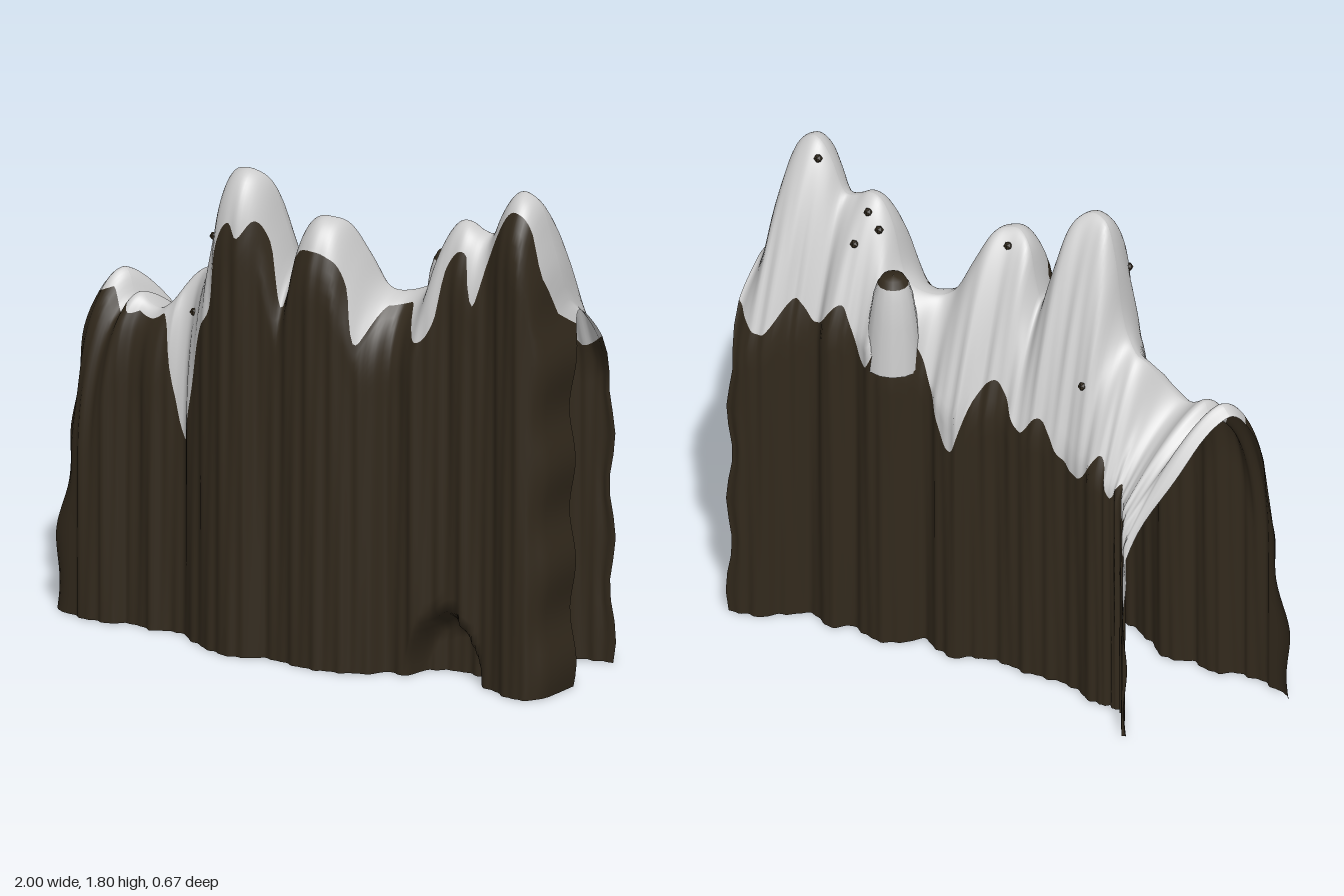
import * as THREE from 'three';

const rockMat = new THREE.MeshStandardMaterial({ color: 0x32291c, side: THREE.DoubleSide });
const snowMat = new THREE.MeshStandardMaterial({ color: 0xcccccc, side: THREE.DoubleSide });

// Smooth curve through [x, value] pairs
function curve(...p) {
  const slope = i => {
    const a = p[Math.max(i - 1, 0)], b = p[Math.min(i + 1, p.length - 1)];
    return (b[1] - a[1]) / (b[0] - a[0]);
  };
  return x => {
    let i = 0;
    while (i < p.length - 2 && x > p[i + 1][0]) i++;
    const h = p[i + 1][0] - p[i][0];
    const t = THREE.MathUtils.clamp((x - p[i][0]) / h, 0, 1), u = 1 - t;
    return p[i][1] * (1 + 2 * t) * u * u + p[i + 1][1] * t * t * (3 - 2 * t)
      + h * t * u * (slope(i) * u - slope(i + 1) * t);
  };
}

// Crest height along the ridge
const crest = curve([-0.95, 1.2], [-0.92, 1.235], [-0.88, 1.21], [-0.83, 1.13], [-0.76, 1.18], [-0.65, 1.14],
  [-0.58, 1.18], [-0.5, 1.28], [-0.4, 1.34], [-0.36, 1.43], [-0.33, 1.58], [-0.29, 1.7], [-0.25, 1.735],
  [-0.19, 1.735], [-0.14, 1.68], [-0.1, 1.53], [-0.06, 1.38], [-0.03, 1.44], [0, 1.55], [0.05, 1.6], [0.1, 1.605],
  [0.15, 1.58], [0.2, 1.48], [0.25, 1.37], [0.3, 1.335], [0.4, 1.36], [0.45, 1.41], [0.5, 1.55], [0.55, 1.63],
  [0.6, 1.645], [0.65, 1.62], [0.7, 1.62], [0.75, 1.72], [0.8, 1.785], [0.85, 1.79], [0.9, 1.73], [0.93, 1.58],
  [0.96, 1.4], [0.98, 1.35]);
const crestZ = curve([-0.95, 0], [-0.85, 0.03], [-0.75, 0.08], [-0.6, 0.1], [-0.47, 0.06], [-0.4, 0.1], [-0.22, 0.2],
  [-0.06, 0.12], [0.08, 0.18], [0.25, 0.08], [0.4, 0.03], [0.5, 0.08], [0.6, 0.1], [0.7, 0.1], [0.85, 0.13],
  [0.93, 0.1], [0.98, 0]);
// Front and back faces of the wall
const frontZ = curve([-0.95, 0.13], [-0.92, 0.18], [-0.85, 0.2], [-0.75, 0.2], [-0.7, 0.17], [-0.6, 0.2], [-0.5, 0.18],
  [-0.42, 0.24], [-0.3, 0.31], [-0.2, 0.33], [-0.1, 0.29], [0, 0.31], [0.08, 0.325], [0.2, 0.31], [0.3, 0.27],
  [0.35, 0.22], [0.45, 0.25], [0.55, 0.22], [0.65, 0.235], [0.72, 0.22], [0.8, 0.26], [0.86, 0.285], [0.92, 0.27],
  [0.96, 0.21], [0.98, 0.06]);
const backZ = curve([-0.95, -0.33], [-0.85, -0.3], [-0.75, -0.25], [-0.65, -0.2], [-0.5, -0.18], [-0.4, -0.18],
  [-0.3, -0.13], [-0.22, -0.12], [-0.1, -0.12], [0, -0.1], [0.1, -0.12], [0.15, -0.15], [0.22, -0.13], [0.3, -0.09],
  [0.36, -0.15], [0.45, -0.17], [0.55, -0.13], [0.63, -0.17], [0.7, -0.12], [0.8, -0.17], [0.87, -0.22], [0.98, -0.23]);
// Height where the back slope becomes a cliff
const backRim = curve([-0.95, 0.72], [-0.8, 0.86], [-0.5, 0.9], [-0.3, 0.95], [0, 1], [0.2, 1], [0.4, 1.15],
  [0.6, 1.2], [0.8, 1.15], [0.98, 1.05]);
// Lower limits of the snow
const snowFront = curve([-0.95, 1.15], [-0.8, 1.2], [-0.74, 1.12], [-0.64, 1.15], [-0.56, 1.1], [-0.52, 0.87],
  [-0.47, 0.71], [-0.43, 0.87], [-0.38, 1.13], [-0.32, 1.25], [-0.29, 1.47], [-0.24, 1.57], [-0.2, 1.52],
  [-0.15, 1.58], [-0.11, 1.5], [-0.06, 1.27], [-0.02, 1.42], [0.03, 1.5], [0.15, 1.48], [0.2, 1.38], [0.24, 1.19],
  [0.3, 1.3], [0.38, 1.33], [0.45, 1.22], [0.52, 1.3], [0.56, 1.5], [0.63, 1.55], [0.67, 1.38], [0.72, 1.55],
  [0.8, 1.72], [0.85, 1.74], [0.9, 1.68], [0.93, 1.52], [0.98, 1.31]);
const snowBack = curve([-0.95, 0.44], [-0.9, 0.6], [-0.8, 0.85], [-0.7, 0.78], [-0.6, 0.92], [-0.5, 0.86], [-0.42, 1.0],
  [-0.33, 0.88], [-0.25, 0.92], [-0.15, 1.05], [-0.08, 0.98], [0.03, 1.13], [0.1, 1.05], [0.17, 0.84], [0.25, 1.0],
  [0.35, 1.22], [0.42, 1.25], [0.5, 1.1], [0.6, 1.3], [0.7, 1.2], [0.78, 1.28], [0.87, 1.15], [0.98, 1.22]);

// Point on the shell at station s and height y, on the front or back side
function shell(s, y, isFront) {
  const top = crest(s), zf = frontZ(s), zb = backZ(s), zp = Math.min(crestZ(s), zf - 0.03);
  let z;
  if (isFront) {
    const leftEnd = THREE.MathUtils.smoothstep(-s, 0.72, 0.95);
    const h = Math.min(snowFront(s), top - 0.28 - 0.45 * leftEnd);
    const t = THREE.MathUtils.clamp((y - h) / (top - h), 0, 1);
    z = zf + (zp - zf) * (1 - Math.sqrt(1 - t * t));
    // small cave at the foot of the cliff
    const d = Math.hypot((s - 0.56) / 0.14, y / 0.24);
    z -= 0.12 * (1 - THREE.MathUtils.smoothstep(d, 0.75, 1.05));
  } else {
    const t = THREE.MathUtils.clamp((top - y) / (top - backRim(s)), 0, 1);
    z = zp + (zb - zp) * Math.pow(t, 1 / 1.5);
  }
  // vertical fluting, fading out at the crest
  const fade = THREE.MathUtils.clamp((top - y) / 0.4, 0, 1);
  z += fade * (0.005 * Math.sin(s * 71 + y * 1.5) + 0.003 * Math.sin(s * 133 - y * 2));
  // the left opening is cut obliquely, both ends are ragged
  const skew = 0.35 * Math.pow(Math.max(0, (-0.4 - s) / 0.55), 1.3);
  const end = THREE.MathUtils.smoothstep(Math.abs(s), 0.9, 0.98);
  let x = s + skew * (zf - z) / (zf - zb) + end * 0.012 * Math.sin(y * 17);
  if (isFront) x -= 0.05 * THREE.MathUtils.smoothstep(-s, 0.91, 0.95) * (1 - THREE.MathUtils.smoothstep(y, 0.25, 0.6));
  return [x, y, z];
}

// Strip of surface between two heights, along the whole ridge
function strip(name, mat, rows, isFront, yAt) {
  const N = 200, pos = [], idx = [];
  for (let i = 0; i <= N; i++) {
    const s = -0.95 + 1.93 * i / N;
    for (let j = 0; j <= rows; j++) {
      pos.push(...shell(s, yAt(s, j / rows), isFront));
      if (i < N && j < rows) {
        const a = i * (rows + 1) + j, b = a + rows + 1;
        idx.push(a, b, b + 1, a, b + 1, a + 1);
      }
    }
  }
  const g = new THREE.BufferGeometry();
  g.setAttribute('position', new THREE.Float32BufferAttribute(pos, 3));
  g.setIndex(idx);
  g.computeVertexNormals();
  const m = new THREE.Mesh(g, mat);
  m.name = name;
  return m;
}

export function createModel() {
  const group = new THREE.Group();
  group.name = 'snowyRidge';
  const sf = s => Math.min(snowFront(s), crest(s) - 0.03);
  const sb = s => Math.min(snowBack(s), crest(s) - 0.08);
  const ease = t => Math.sin(t * Math.PI / 2);
  group.add(
    strip('frontCliff', rockMat, 36, true, (s, t) => t * sf(s)),
    strip('frontSnow', snowMat, 14, true, (s, t) => sf(s) + (crest(s) - sf(s)) * ease(t)),
    strip('backSnow', snowMat, 24, false, (s, t) => crest(s) - (crest(s) - sb(s)) * (1 - Math.cos(t * Math.PI / 2))),
    strip('backCliff', rockMat, 16, false, (s, t) => sb(s) * (1 - t)));

  // Rocky knob on the back slope, with a snow collar
  const knob = (name, mat, pts) => {
    const m = new THREE.Mesh(new THREE.LatheGeometry(pts.map(p => new THREE.Vector2(...p)), 14), mat);
    m.name = name;
    m.position.set(0.42, 0, -0.08);
    group.add(m);
  };
  knob('knobSnow', snowMat, [[0.1, 1.1], [0.085, 1.28], [0.07, 1.38], [0.055, 1.43]]);
  knob('knobRock', rockMat, [[0.056, 1.425], [0.04, 1.455], [0.001, 1.46]]);

  // Bare rock showing through the snow
  const patches = [[-0.31, 1.5, true], [-0.45, 1.17, true], [0.08, 1.56, false], [0.53, 1.55, false],
    [0.58, 1.6, false], [0.6, 1.5, false], [0.79, 1.74, false], [-0.3, 1.2, false]];
  for (const [s, y, isFront] of patches) {
    const m = new THREE.Mesh(new THREE.IcosahedronGeometry(0.016, 0), rockMat);
    m.name = 'barePatch';
    m.position.set(...shell(s, y, isFront));
    group.add(m);
  }
  return group;
}
